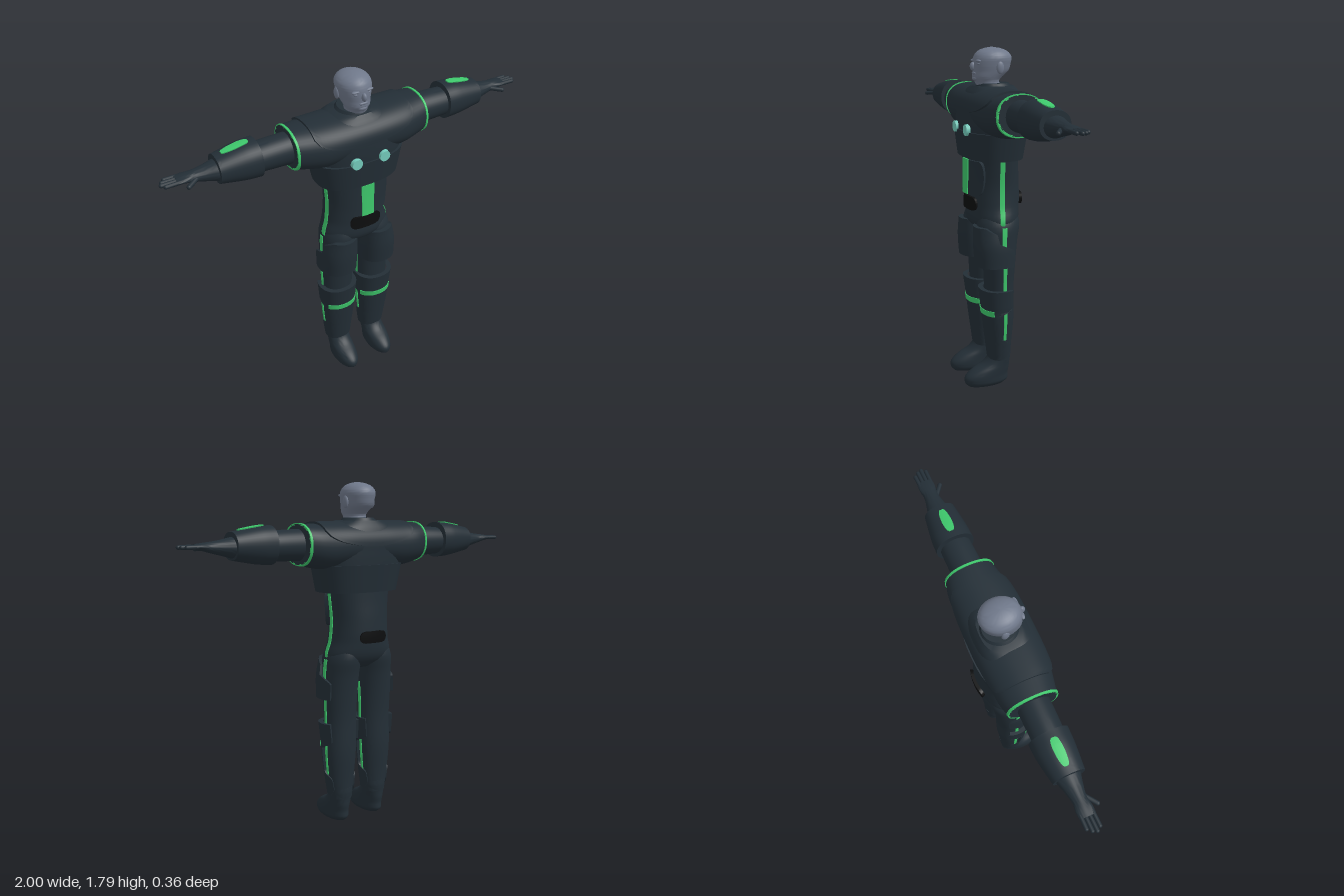
import * as THREE from 'three';
import { toCreasedNormals } from 'three/addons/utils/BufferGeometryUtils.js';

const mat = (name, color) => Object.assign(new THREE.MeshStandardMaterial({ color }), { name });
const PI = Math.PI;

// Cross-section surface. Sections are [t, c1, r1, c2, r2] along the y or x axis.
// Axis y: angle 0 is +x and PI/2 is front. Axis x: angle 0 is front and PI/2 is up.
function surface(axis, sections, power = 2) {
  const slope = (i, k) => {
    const a = sections[Math.max(i - 1, 0)], b = sections[Math.min(i + 1, sections.length - 1)];
    return (b[k] - a[k]) / (b[0] - a[0]);
  };
  const round = v => Math.sign(v) * Math.abs(v) ** (2 / power);
  const point = (t, a, off = 0, scale = 1) => {
    let i = 0;
    while (i < sections.length - 2 && t > sections[i + 1][0]) i++;
    const A = sections[i], B = sections[i + 1], h = B[0] - A[0], u = (t - A[0]) / h;
    const [c1, r1, c2, r2] = [1, 2, 3, 4].map(k =>
      (2 * u ** 3 - 3 * u * u + 1) * A[k] + (u ** 3 - 2 * u * u + u) * h * slope(i, k) +
      (3 * u * u - 2 * u ** 3) * B[k] + (u ** 3 - u * u) * h * slope(i + 1, k));
    const c = round(Math.cos(a)) * scale, s = round(Math.sin(a)) * scale;
    return axis === 'y'
      ? new THREE.Vector3(c1 + (r1 + off) * c, t, c2 + (r2 + off) * s)
      : new THREE.Vector3(t, c1 + (r1 + off) * s, c2 + (r2 + off) * c);
  };
  return { point, t0: sections[0][0], t1: sections[sections.length - 1][0] };
}

// Geometry from a grid of points
function sheet(rows) {
  const n = rows[0].length, index = [];
  for (let i = 0; i < rows.length - 1; i++)
    for (let j = 0; j < n - 1; j++) {
      const a = i * n + j, b = a + n;
      index.push(a, b, a + 1, b, b + 1, a + 1);
    }
  const g = new THREE.BufferGeometry().setFromPoints(rows.flat());
  g.setIndex(index);
  return toCreasedNormals(g, 0.7);
}

// Closed solid over a whole surface
function solid(s, steps = 24, sides = 40) {
  const ring = (t, scale) => Array.from({ length: sides + 1 }, (_, j) => s.point(t, (j % sides) / sides * 2 * PI, 0, scale));
  const rows = [ring(s.t0, 0)];
  for (let i = 0; i <= steps; i++) rows.push(ring(s.t0 + (s.t1 - s.t0) * i / steps, 1));
  rows.push(ring(s.t1, 0));
  return sheet(rows);
}

// Raised plate following a surface; range(u) gives its two edge angles
function plate(s, t0, t1, range, off = 0.004, drop = 0.012, steps = 20, sides = 28) {
  const rows = [];
  for (let i = -1; i <= steps + 1; i++) {
    const u = Math.min(Math.max(i / steps, 0), 1), [a0, a1] = range(u), row = [];
    for (let j = -1; j <= sides + 1; j++) {
      const v = Math.min(Math.max(j / sides, 0), 1);
      const rim = i < 0 || j < 0 || i > steps || j > sides;
      row.push(s.point(t0 + (t1 - t0) * u, a0 + (a1 - a0) * v, rim ? off - drop : off));
    }
    rows.push(row);
  }
  return sheet(rows);
}
const band = (mid, half) => () => [mid - half, mid + half];
const oval = (mid, half, end) => u => {
  const h = half * (end + (1 - end) * Math.sqrt(Math.max(0, 1 - (2 * u - 1) ** 2)));
  return [mid - h, mid + h];
};
// Piecewise-linear lookup for armour outlines
function steps(u, pts) {
  let i = 0;
  while (i < pts.length - 2 && u > pts[i + 1][0]) i++;
  const [a, b] = [pts[i], pts[i + 1]];
  return a[1] + (b[1] - a[1]) * (u - a[0]) / (b[0] - a[0]);
}

function mirrored(geometry) {
  const g = geometry.index ? geometry.toNonIndexed() : geometry.clone();
  g.scale(-1, 1, 1);
  for (const attr of Object.values(g.attributes))
    for (let i = 0; i < attr.count; i += 3)
      for (let k = 0; k < attr.itemSize; k++) {
        const v = attr.getComponent(i + 1, k);
        attr.setComponent(i + 1, k, attr.getComponent(i + 2, k));
        attr.setComponent(i + 2, k, v);
      }
  return g;
}

function capsule(from, to, r) {
  const a = new THREE.Vector3(...from), b = new THREE.Vector3(...to), d = b.clone().sub(a);
  const g = new THREE.CapsuleGeometry(r, d.length(), 6, 12);
  g.applyQuaternion(new THREE.Quaternion().setFromUnitVectors(new THREE.Vector3(0, 1, 0), d.normalize()));
  return g.translate(...a.add(b).multiplyScalar(0.5).toArray());
}
const ball = (x, y, z, rx, ry, rz) => new THREE.SphereGeometry(1, 20, 14).scale(rx, ry, rz).translate(x, y, z);

export function createModel() {
  const suit = mat('suit', 0x232e36), skin = mat('skin', 0x6f788a), green = mat('green', 0x3ec86c);
  const black = mat('black', 0x0d0e0f), teal = mat('teal', 0x74cbbb);
  const model = new THREE.Group();
  const add = (name, geometry, material = suit) => {
    const m = new THREE.Mesh(geometry, material);
    m.name = name;
    model.add(m);
  };
  const pair = (name, geometry, material) => {
    add('left ' + name, geometry, material);
    add('right ' + name, mirrored(geometry), material);
  };

  // Torso, belt plates and stripes
  const torso = surface('y', [[0.85, 0, 0.1, -0.015, 0.06], [0.9, 0, 0.185, -0.015, 0.118], [1, 0, 0.168, -0.022, 0.132],
    [1.1, 0, 0.16, -0.024, 0.13], [1.2, 0, 0.168, -0.022, 0.126], [1.3, 0, 0.18, -0.02, 0.125]], 2.1);
  add('torso', solid(torso));
  add('abdomen plate', plate(torso, 1.06, 1.24, oval(PI / 2, 0.82, 0.75), 0.024, 0.03));
  add('abdomen stripe', plate(torso, 1.06, 1.243, band(PI / 2, 0.17), 0.029, 0.008), green);
  add('front buckle', plate(torso, 0.975, 1.045, oval(PI / 2, 0.5, 0.6), 0.014, 0.025), black);
  add('back buckle', plate(torso, 0.99, 1.05, oval(-PI / 2, 0.45, 0.6), 0.016, 0.025), black);
  pair('side stripe', plate(torso, 0.89, 1.255, band(0.09, 0.09), 0.004), green);

  // Chest armour, shoulders and collar
  const skirt = surface('y', [[1.25, 0, 0.222, -0.006, 0.146], [1.39, 0, 0.25, -0.008, 0.163]], 2.6);
  const chest = surface('y', [[1.36, 0, 0.235, -0.008, 0.155], [1.45, 0, 0.24, -0.009, 0.157], [1.52, 0, 0.235, -0.012, 0.152],
    [1.58, 0, 0.19, -0.018, 0.125], [1.612, 0, 0.12, -0.024, 0.098]], 2.5);
  const half = [[0.365, 1.497, 0.1, -0.02, 0.12], [0.3, 1.489, 0.109, -0.02, 0.136], [0.22, 1.484, 0.115, -0.014, 0.147], [0.1, 1.488, 0.112, -0.012, 0.152]];
  const shoulders = surface('x', [...half.map(([x, ...r]) => [-x, ...r]), ...half.slice().reverse()], 2.25);
  const collar = surface('y', [[1.56, 0, 0.15, -0.025, 0.12], [1.595, 0, 0.105, -0.025, 0.1], [1.625, 0, 0.078, -0.022, 0.085]]);
  add('chest skirt', solid(skirt));
  add('chest', solid(chest));
  add('shoulders', solid(shoulders, 36));
  add('yoke', plate(shoulders, -0.275, 0.275, oval(PI / 2, 1.6, 0.55), 0.01, 0.02, 32));
  add('collar', solid(collar));
  pair('shoulder ring', plate(shoulders, 0.354, 0.365, band(0, PI), 0.005, 0.01, 2, 48), green);
  const light = new THREE.CylinderGeometry(0.028, 0.03, 0.02, 24).rotateX(PI / 2);
  pair('chest light', light.translate(0.078, 1.4, 0.151), teal);

  // Head
  add('head', solid(surface('y', [[1.6, 0, 0.06, -0.005, 0.065], [1.635, 0, 0.058, 0.01, 0.064], [1.655, 0, 0.066, 0.008, 0.077],
    [1.685, 0, 0.076, -0.01, 0.094], [1.72, 0, 0.084, -0.016, 0.1], [1.755, 0, 0.086, -0.021, 0.099],
    [1.782, 0, 0.068, -0.02, 0.08], [1.798, 0, 0.038, -0.018, 0.045], [1.805, 0, 0.004, -0.016, 0.005]]), 36), skin);
  add('nose', ball(0, 1.71, 0.085, 0.013, 0.022, 0.017), skin);
  add('mouth', ball(0, 1.676, 0.079, 0.025, 0.008, 0.009), skin);
  add('chin', ball(0, 1.65, 0.07, 0.028, 0.014, 0.018), skin);
  pair('ear', ball(0.083, 1.705, -0.03, 0.011, 0.032, 0.02), skin);
  pair('brow', ball(0.034, 1.738, 0.07, 0.025, 0.007, 0.011), skin);
  pair('eye', ball(0.034, 1.724, 0.067, 0.013, 0.007, 0.01), skin);

  // Arms, gauntlets and hands
  const arm = surface('x', [[0.33, 1.495, 0.08, -0.018, 0.08], [0.52, 1.495, 0.073, -0.02, 0.077], [0.7, 1.493, 0.056, -0.02, 0.066],
    [0.78, 1.495, 0.038, -0.02, 0.046], [0.84, 1.498, 0.026, -0.02, 0.035], [0.88, 1.502, 0.018, -0.02, 0.041], [0.92, 1.503, 0.011, -0.02, 0.039]]);
  const gauntlet = surface('x', [[0.525, 1.5, 0.095, -0.021, 0.097], [0.6, 1.5, 0.09, -0.021, 0.094], [0.73, 1.5, 0.067, -0.018, 0.078]], 2.2);
  pair('arm', solid(arm, 32));
  pair('gauntlet', solid(gauntlet));
  pair('gauntlet stripe', plate(gauntlet, 0.56, 0.695, oval(PI / 2, 0.22, 0.35), 0.005), green);
  [0.965, 0.982, 0.99, 0.975].forEach((x, i) =>
    pair('finger ' + (i + 1), capsule([0.89, 1.503, -0.048 + i * 0.019], [x, 1.502, -0.05 + i * 0.02], 0.01)));
  pair('thumb', capsule([0.82, 1.497, 0], [0.882, 1.49, 0.046], 0.011));

  // Legs and boots
  const leg = surface('y', [[0.14, 0.11, 0.06, -0.02, 0.054], [0.25, 0.112, 0.075, -0.018, 0.062], [0.4, 0.112, 0.088, -0.018, 0.073],
    [0.57, 0.11, 0.089, -0.014, 0.077], [0.7, 0.11, 0.093, -0.014, 0.086], [0.82, 0.105, 0.097, -0.01, 0.103],
    [0.91, 0.098, 0.095, -0.014, 0.114], [0.98, 0.09, 0.065, -0.02, 0.09]]);
  pair('leg', solid(leg, 32));
  pair('outer leg stripe', plate(leg, 0.28, 0.9, band(0.02, 0.11), 0.004), green);
  pair('inner leg stripe', plate(leg, 0.25, 0.76, band(PI, 0.11), 0.004), green);
  pair('boot', solid(surface('y', [[0.01, 0.112, 0.042, 0.06, 0.1], [0.03, 0.112, 0.059, 0.058, 0.121], [0.065, 0.112, 0.063, 0.058, 0.122],
    [0.1, 0.112, 0.063, 0.034, 0.105], [0.13, 0.111, 0.062, 0.003, 0.076], [0.17, 0.11, 0.064, -0.018, 0.06], [0.2, 0.11, 0.066, -0.02, 0.058]])));

  // Leg armour
  const thigh = surface('y', [[0.69, 0.119, 0.103, 0.002, 0.116], [0.8, 0.116, 0.102, 0.006, 0.12], [0.9, 0.106, 0.092, 0.002, 0.122]], 2.2);
  const shin = surface('y', [[0.16, 0.11, 0.073, -0.014, 0.06], [0.35, 0.112, 0.094, -0.01, 0.08], [0.45, 0.112, 0.1, -0.008, 0.09], [0.56, 0.114, 0.107, -0.004, 0.1]], 2.2);
  pair('thigh plate', plate(thigh, 0.69, 0.9, u => {
    const a = steps(u, [[0, -0.55], [0.42, -0.6], [0.6, 0.1], [0.85, 0.2], [1, 0.75]]);
    return [a, PI - Math.max(a, 0)];
  }, 0, 0.03));
  pair('shin plate', plate(shin, 0.16, 0.56, u => {
    const a = steps(u, [[0, -0.2], [0.08, -0.6], [0.24, -0.5], [0.32, 0.22], [0.66, 0.22], [0.74, -0.6], [1, -0.55]]);
    return [a, PI - a];
  }, 0, 0.025, 32));
  pair('shin band', plate(shin, 0.42, 0.45, () => [0.6, 2.75], 0.004, 0.008, 3), green);
  return model;
}
